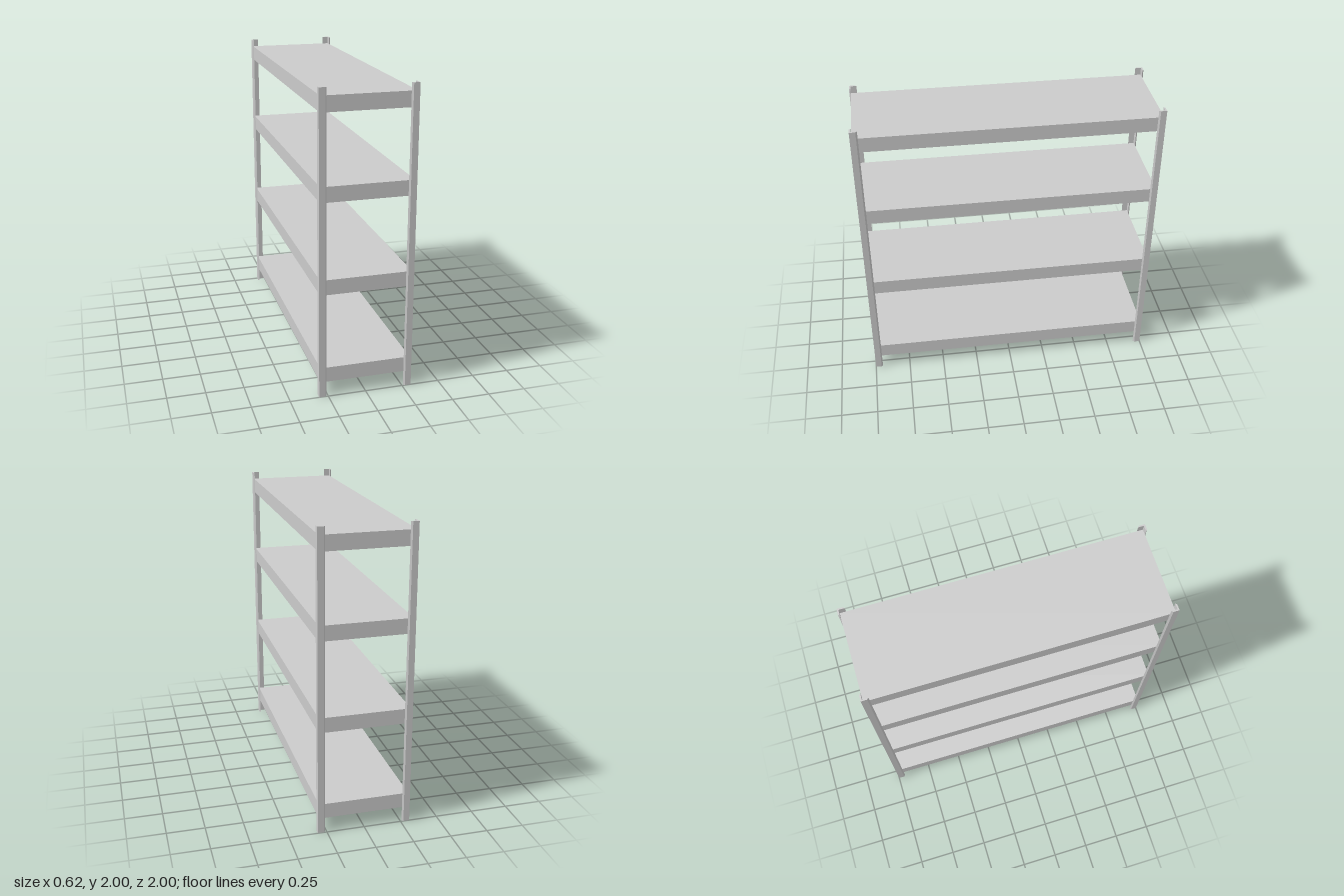
import * as THREE from 'three';

const W = 0.31, D = 1.0, H = 2.0; // half width, half depth, height
const LEG = 0.05, T = 0.01;       // angle-post leg length and thickness

export function createModel() {
  const group = new THREE.Group();
  const material = new THREE.MeshStandardMaterial({ color: 0xcccccc, flatShading: true });

  // Four closed shelf decks
  const deckGeometry = new THREE.BoxGeometry(2 * (W - T), 0.1, 2 * (D - T));
  [0.15, 0.75, 1.35, 1.9].forEach((y, i) => {
    const deck = new THREE.Mesh(deckGeometry, material);
    deck.name = `shelf${i + 1}`;
    deck.position.y = y;
    group.add(deck);
  });

  // L-section post with bevelled leg ends, wrapped around the shelf corners
  const section = new THREE.Shape([
    [0, 0], [LEG - T, 0], [LEG, T], [T, T], [T, LEG], [0, LEG - T],
  ].map(([x, y]) => new THREE.Vector2(x, y)));
  const postGeometry = new THREE.ExtrudeGeometry(section, { depth: H, bevelEnabled: false });
  postGeometry.rotateX(-Math.PI / 2);

  // Each quarter turn points the legs inward from the next corner
  [
    ['frontRightPost', -W, D],
    ['frontLeftPost', W, D],
    ['backLeftPost', W, -D],
    ['backRightPost', -W, -D],
  ].forEach(([name, x, z], i) => {
    const post = new THREE.Mesh(postGeometry, material);
    post.name = name;
    post.position.set(x, 0, z);
    post.rotation.y = i * Math.PI / 2;
    group.add(post);
  });

  return group;
}
